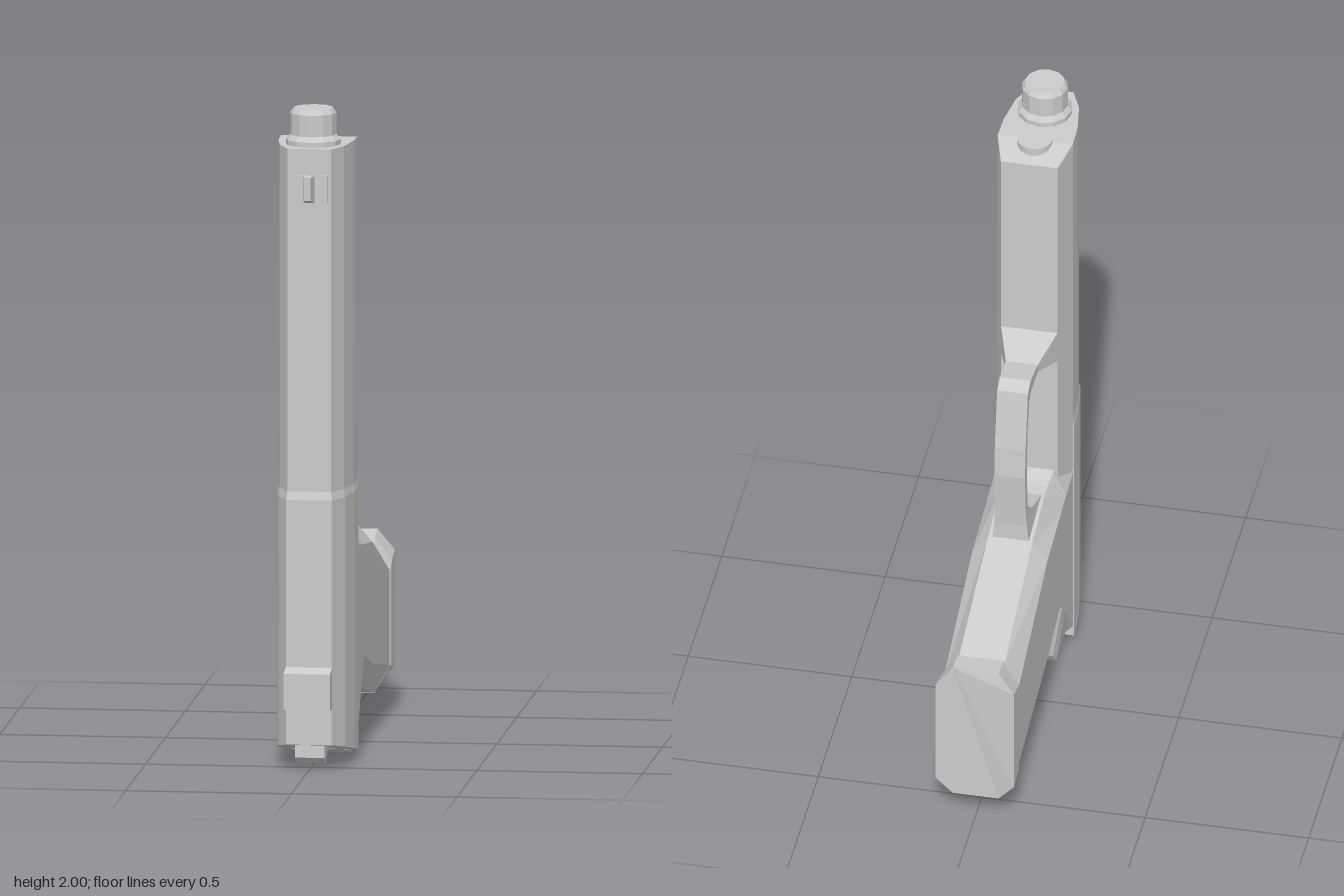
import * as THREE from 'three';

const grey = new THREE.MeshStandardMaterial({ color: 0xcccccc, flatShading: true });

function add(group, name, geometry) {
  const mesh = new THREE.Mesh(geometry, grey);
  mesh.name = name;
  group.add(mesh);
  return mesh;
}

// Closed flat-faced solid through rings of [x, y, z] points, with capped ends
function loft(rings) {
  const tris = [];
  const n = rings[0].length;
  for (let i = 0; i + 1 < rings.length; i++) {
    for (let j = 0; j < n; j++) {
      const k = (j + 1) % n;
      const a = rings[i][j], b = rings[i][k], c = rings[i + 1][k], d = rings[i + 1][j];
      tris.push([a, b, c], [a, c, d]);
    }
  }
  const last = rings[rings.length - 1];
  for (let j = 1; j + 1 < n; j++) {
    tris.push([rings[0][0], rings[0][j + 1], rings[0][j]]);
    tris.push([last[0], last[j], last[j + 1]]);
  }
  // Turn every face outwards if the rings ran the other way
  const v = (p) => new THREE.Vector3(...p);
  const volume = tris.reduce((s, [a, b, c]) => s + v(a).dot(v(b).cross(v(c))), 0);
  if (volume < 0) tris.forEach((t) => t.reverse());
  const geo = new THREE.BufferGeometry();
  geo.setAttribute('position', new THREE.Float32BufferAttribute(tris.flat(2), 3));
  geo.computeVertexNormals();
  return geo;
}

// Side outline of [z, y] points, given a width across x
function plate(outline, halfWidth) {
  return loft([-halfWidth, halfWidth].map((x) => outline.map(([z, y]) => [x, y, z])));
}

// Eight-sided section: z and height of the flats, z and height of the sides
function section([z, zFlat, front, frontSide, backSide, back, wide, flatF, flatB]) {
  return [
    [flatF, front, zFlat], [wide, frontSide, z], [wide, backSide, z], [flatB, back, zFlat],
    [-flatB, back, zFlat], [-wide, backSide, z], [-wide, frontSide, z], [-flatF, front, zFlat],
  ];
}

export function createModel() {
  const model = new THREE.Group();

  // Slide: faceted cover, slightly fuller over its lower part
  const half = [[0.115, 0.30], [0.113, 0.38], [0.097, 0.48], [0.066, 0.55]];
  const outline = [...half, ...half.slice().reverse().map(([x, z]) => [-x, z])];
  const slideRing = (y, grow, slope = 0) => outline.map(([x, z]) =>
    [x * (1 + grow), y + (z - 0.3) * slope, z + (z - 0.3) * grow]);
  add(model, 'slide', loft([
    slideRing(0.03, 0.035, 0.21), slideRing(0.825, 0.035), slideRing(0.85, 0), slideRing(1.89, 0),
  ]));

  // Frame rail in front of the guard, narrowing away from the slide
  add(model, 'frame', loft([[0.30, 0.115, 1.89], [0.21, 0.087, 1.862]].map(([z, w, top]) =>
    [[w, 0.66, z], [w, top, z], [-w, top, z], [-w, 0.66, z]])));

  // Grip with the rear tang
  add(model, 'grip', loft([
    [0.305, 0.305, 0.745, 0.65, 0.06, 0.03, 0.116, 0.09, 0.09],
    [0.20, 0.20, 0.715, 0.635, 0.20, 0.005, 0.115, 0.075, 0.085],
    [0.175, 0.175, 0.705, 0.632, 0.23, 0.04, 0.115, 0.07, 0.08],
    [0.15, 0.15, 0.70, 0.63, 0.26, 0.175, 0.115, 0.068, 0.075],
    [0.127, 0.09, 0.695, 0.625, 0.286, 0.195, 0.115, 0.068, 0.07],
    [-0.075, -0.08, 0.655, 0.60, 0.23, 0.16, 0.115, 0.068, 0.07],
    [-0.52, -0.51, 0.52, 0.44, 0.153, 0.07, 0.115, 0.07, 0.07],
  ].map(section)));

  // Grip base with a forward lip
  add(model, 'gripBase', loft([
    [-0.515, -0.505, 0.525, 0.44, 0.155, 0.07, 0.117, 0.07, 0.07],
    [-0.53, -0.518, 0.545, 0.47, 0.15, 0.072, 0.12, 0.07, 0.07],
    [-0.605, -0.592, 0.555, 0.49, 0.14, 0.08, 0.12, 0.07, 0.07],
  ].map(section)));

  // Guard loop: outer z, y, inner z, y, half width
  add(model, 'guard', loft([
    [0.215, 1.24, 0.215, 1.13, 0.088],
    [0.10, 1.195, 0.10, 1.17, 0.049],
    [0, 1.21, 0, 1.165, 0.047],
    [-0.04, 1.19, -0.02, 1.145, 0.047],
    [-0.075, 1.0, -0.045, 1.05, 0.047],
    [-0.082, 0.90, -0.055, 0.93, 0.047],
    [-0.072, 0.77, -0.045, 0.77, 0.047],
    [-0.068, 0.71, 0, 0.73, 0.05],
    [-0.07, 0.62, 0.13, 0.69, 0.06],
  ].map(([oz, oy, iz, iy, w]) => [[w, oy, oz], [w, iy, iz], [-w, iy, iz], [-w, oy, oz]])));

  // Stepped barrel end
  const barrel = [[0, 1.85], [0.083, 1.85], [0.083, 1.905], [0.07, 1.92], [0.07, 1.985],
    [0.06, 2.0], [0, 2.0]].map(([r, y]) => new THREE.Vector2(r, y));
  add(model, 'barrelEnd', new THREE.LatheGeometry(barrel, 12)).position.z = 0.445;

  // Round rod end below the barrel
  add(model, 'rodEnd', new THREE.CylinderGeometry(0.053, 0.053, 0.035, 20)).position.set(0, 1.88, 0.295);

  // Front sight: thin post between flared top and bottom feet
  const frontSight = new THREE.Group();
  frontSight.name = 'frontSight';
  model.add(frontSight);
  add(frontSight, 'sightPost', loft([[0.545, 1.81, 1.725, 0.018], [0.60, 1.81, 1.74, 0.01]].map(
    ([z, top, bottom, w]) => [[w, top, z], [w, bottom, z], [-w, bottom, z], [-w, top, z]])));
  add(frontSight, 'sightFoot', new THREE.BoxGeometry(0.11, 0.085, 0.012)).position.set(0, 1.768, 0.549);

  // Rear sight block
  add(model, 'rearSight', plate([[0.55, 0.32], [0.61, 0.305], [0.61, 0.195], [0.55, 0.19]], 0.07));

  // Hammer spur at the rear end
  add(model, 'hammer', plate(
    [[0.535, 0.11], [0.538, 0.04], [0.51, 0.018], [0.475, 0.045], [0.43, 0.06], [0.43, 0.11]], 0.045));

  return model;
}
